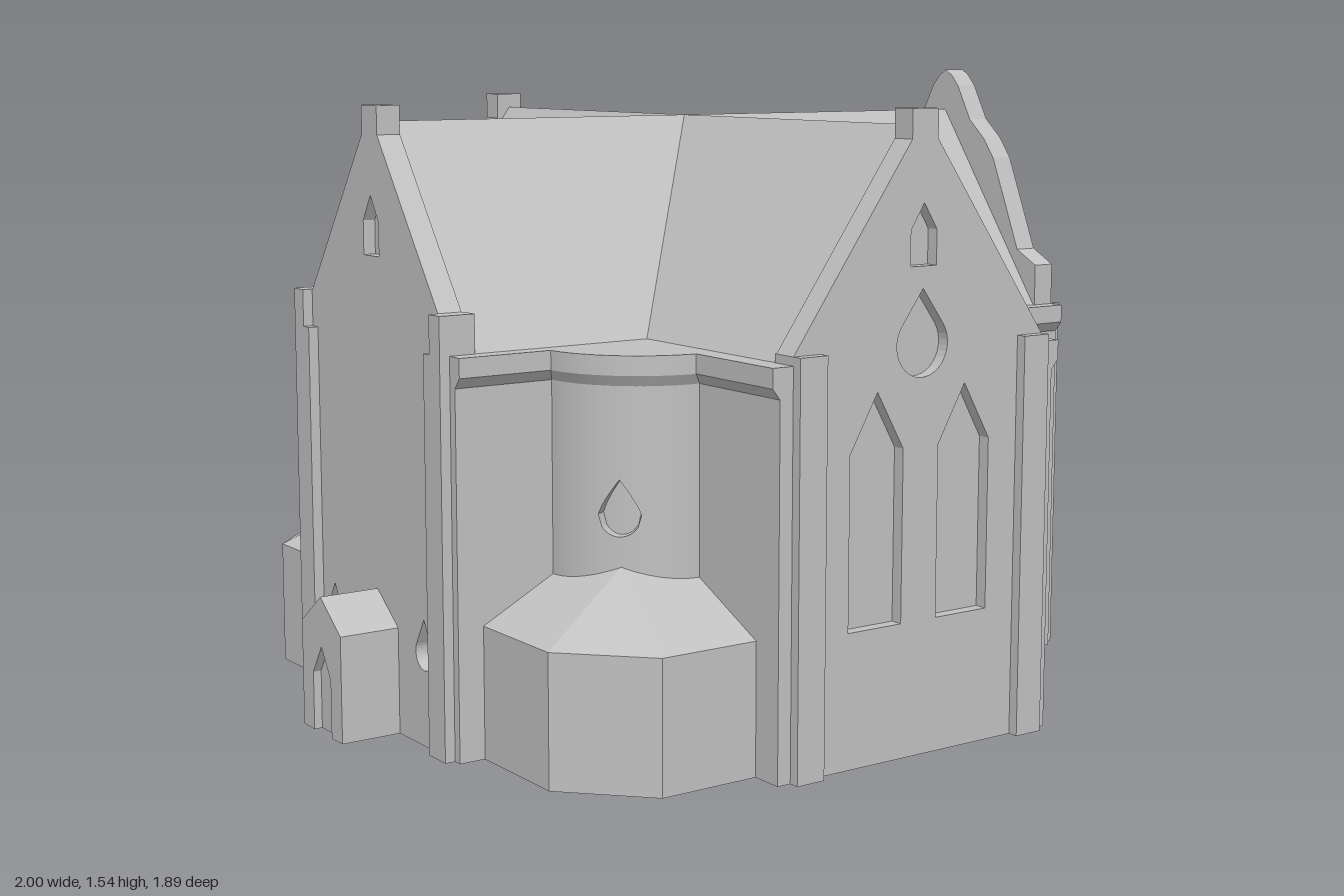
import * as THREE from 'three';
import { toCreasedNormals } from 'three/addons/utils/BufferGeometryUtils.js';

const CX = 0.0375;            // centre line of the front-back arm
const WX = 0.3975, WZ = 0.385; // half widths of the two arms
const R = 0.24;               // corner bay radius
const TOP = 0.925;

export function createModel() {
  const root = new THREE.Group();
  root.name = 'church';
  const stone = new THREE.MeshStandardMaterial({ color: 0xc0c0c0, side: THREE.DoubleSide });
  stone.name = 'stone';

  const add = (parent, name, geo) => {
    const m = new THREE.Mesh(geo, stone);
    m.name = name;
    parent.add(m);
    return m;
  };
  const box = (parent, name, x0, x1, y0, y1, z0, z1) => {
    const g = new THREE.BoxGeometry(x1 - x0, y1 - y0, z1 - z0);
    add(parent, name, g.translate((x0 + x1) / 2, (y0 + y1) / 2, (z0 + z1) / 2));
  };
  const shapeOf = pts => new THREE.Shape(pts.map(p => new THREE.Vector2(p[0], p[1])));
  const extrude = (pts, z0, z1, holes = []) => {
    const s = shapeOf(pts);
    s.holes = holes.map(shapeOf);
    return new THREE.ExtrudeGeometry(s, { depth: z1 - z0, bevelEnabled: false }).translate(0, 0, z0);
  };
  // flat slab from a plan of [x, z] points
  const slab = (pts, y0, y1) =>
    extrude(pts.map(([x, z]) => [x, -z]), y0, y1).rotateX(-Math.PI / 2);
  // polygons, each split as a fan
  const faces = (polys, flip = false, crease = 0.4) => {
    const out = [];
    for (const poly of polys) {
      const p = flip ? [...poly].reverse() : poly;
      for (let i = 1; i < p.length - 1; i++) out.push(...p[0], ...p[i], ...p[i + 1]);
    }
    const g = new THREE.BufferGeometry();
    g.setAttribute('position', new THREE.Float32BufferAttribute(out, 3));
    return toCreasedNormals(g, crease);
  };

  // Cross plan with quarter-round bays in the inner corners
  const plan = (off, r) => {
    const ring = [], t0 = Math.asin(off / r);
    for (const [sx, sz] of [[1, 1], [1, -1], [-1, -1], [-1, 1]]) {
      const q = [[CX + sx * (WX + off), sz * 0.89]];
      for (let i = 0; i <= 20; i++) {
        const t = t0 + (Math.PI / 2 - 2 * t0) * i / 20;
        q.push([CX + sx * (WX + r * Math.sin(t)), sz * (WZ + r * Math.cos(t))]);
      }
      q.push([sx > 0 ? 0.94 : -0.82, sz * (WZ + off)]);
      ring.push(...(sx * sz > 0 ? q : q.reverse()));
    }
    return ring;
  };
  add(root, 'walls', slab(plan(0, R - 0.03), 0, 0.92));
  const inner = plan(0, R), outer = plan(0.02, R + 0.015);
  add(root, 'cornice', toCreasedNormals(slab(outer, 0.88, TOP), 0.4));
  add(root, 'corniceMoulding', faces(inner.map((p, i) => {
    const j = (i + 1) % inner.length;
    return [[p[0], 0.855, p[1]], [inner[j][0], 0.855, inner[j][1]],
      [outer[j][0], 0.88, outer[j][1]], [outer[i][0], 0.88, outer[i][1]]];
  })));

  // Crossing roofs
  const roof = [[-0.36, 0.91], [0.36, 0.91], [0.36, TOP], [0, 1.43], [-0.36, TOP]];
  add(root, 'roofFrontBack', extrude(roof, -0.87, 0.87).translate(CX, 0, 0));
  add(root, 'roofSides', extrude(roof, -0.8, 0.92).rotateY(Math.PI / 2));

  // Curved bay walls, each with one recessed opening
  const door = { w: 0.044, lo: () => 0, hi: s => 0.2 + 0.058 * (1 - Math.abs(s) / 0.044) };
  const drop = {
    w: 0.05,
    lo: s => 0.563 - Math.sqrt(Math.max(0, 0.0025 - s * s)),
    hi: s => 0.563 + 0.08 * Math.pow(Math.max(0, 1 - Math.abs(s) / 0.05), 0.8),
  };
  const bay = (sx, sz, { w, lo, hi }) => {
    const P = (t, y, r = R) => [CX + sx * (WX + r * Math.sin(t)), y, sz * (WZ + r * Math.cos(t))];
    const mid = Math.PI / 4, tw = w / R, ts = [], polys = [];
    for (let i = 0; i < 8; i++) ts.push((mid - tw) * i / 8);
    for (let i = 0; i <= 12; i++) ts.push(mid - tw + 2 * tw * i / 12);
    for (let i = 1; i <= 8; i++) ts.push(mid + tw + (mid - tw) * i / 8);
    const strip = (a, b, y0, y1, y2, y3) => polys.push([P(a, y0), P(b, y1), P(b, y2), P(a, y3)]);
    const r = R - 0.032;
    for (let i = 0; i < ts.length - 1; i++) {
      const a = ts[i], b = ts[i + 1], sa = (a - mid) * R, sb = (b - mid) * R;
      if (i < 8 || i >= 20) { strip(a, b, 0, 0, 0.86, 0.86); continue; }
      if (lo(0) > 0) strip(a, b, 0, 0, lo(sb), lo(sa));
      strip(a, b, hi(sa), hi(sb), 0.86, 0.86);
      polys.push([P(a, lo(sa)), P(b, lo(sb)), P(b, lo(sb), r), P(a, lo(sa), r)]);
      polys.push([P(a, hi(sa), r), P(b, hi(sb), r), P(b, hi(sb)), P(a, hi(sa))]);
    }
    for (const k of [-1, 1]) {
      const t = mid + k * tw, l = lo(k * w), h = hi(k * w);
      if (h - l < 0.01) continue;
      const side = [P(t, l), P(t, l, r), P(t, h, r), P(t, h)];
      polys.push(k < 0 ? side : side.reverse());
    }
    add(root, 'cornerBay', faces(polys, sx * sz < 0));
  };
  for (const sz of [1, -1]) {
    bay(1, sz, door);
    bay(-1, sz, drop);
    // Low angular chapel with hipped roof around the bay
    const c = [[-0.34, 0.37], [-0.785, 0.37], [-0.785, 0.66], [-0.61, 0.84], [-0.34, 0.84]]
      .map(([x, z]) => [x, z * sz]);
    add(root, 'chapel', slab(c, 0, 0.31));
    const e = c.map(([x, z]) => [x, 0.31, z]);
    const apex = [-0.525, 0.445, 0.555 * sz];
    add(root, 'chapelRoof', faces([
      [e[1], e[2], apex, [-0.525, 0.445, 0.37 * sz]],
      [e[2], e[3], apex],
      [e[3], e[4], [-0.34, 0.445, 0.555 * sz], apex],
    ], sz < 0, 0.05));
  }

  // Opening outlines
  const pointed = (u, w, y0, y1, y2) => [[u - w, y0], [u + w, y0], [u + w, y1], [u, y2], [u - w, y1]];
  const teardrop = (u, y, r, tip) => {
    const pts = [[u, tip]];
    for (let i = 0; i <= 24; i++) {
      const a = Math.PI * (0.8 + 1.4 * i / 24);
      pts.push([u + r * Math.cos(a), y + r * Math.sin(a)]);
    }
    return pts;
  };
  const tall = [pointed(-0.1275, 0.076, 0.315, 0.715, 0.848), pointed(0.1275, 0.076, 0.315, 0.715, 0.848)];
  const rose = teardrop(0, 0.945, 0.074, 1.07);
  const attic = pointed(0, 0.0375, 1.12, 1.2, 1.26);

  // Gable profiles, right half from eave to top
  const straight = [[0.3625, TOP], [0.3625, 0.945], [0.0375, 1.4]];
  const shaped = [[0.365, TOP], [0.365, 1.03], [0.295, 1.067], [0.25, 1.175], [0.195, 1.305],
    [0.157, 1.355], [0.1, 1.405], [0.05, 1.495], [0.025, 1.522], [0, 1.537]];
  const mirror = half => half.filter(p => p[0] > 0).map(([u, y]) => [-u, y]).reverse();

  // Gable end built facing +z: pierced face plate, solid backing, buttresses
  const gable = (name, pos, turn, half, w, holes, { doorway = [], butt, proj }) => {
    const g = new THREE.Group();
    g.name = name;
    g.position.set(...pos);
    g.rotation.y = turn;
    root.add(g);
    const edge = [[w, 0], [w, 0.855], [w + 0.02, 0.88], [w + 0.02, TOP], ...half];
    add(g, 'gableFace', extrude([...doorway, ...edge, ...mirror(edge)], 0, 0.03, holes));
    const back = [[half[0][0], 0.9], ...half.slice(1)];
    add(g, 'gableBacking', extrude([...back, ...mirror(back)], -0.03, 0));
    for (const s of [-1, 1]) {
      const [a, b] = s > 0 ? [0.2875, 0.3625] : [-0.3625, -0.2875];
      box(g, 'buttress', a, b, 0, butt, 0.025, 0.03 + proj);
    }
    return g;
  };
  const finial = g => box(g, 'finial', -0.0375, 0.0375, 1.375, 1.467, -0.03, 0.03);
  const kneelers = (g, a, b, y) => {
    for (const s of [-1, 1])
      box(g, 'kneeler', Math.min(s * a, s * b), Math.max(s * a, s * b), 0.92, y, -0.035, 0.055);
  };

  for (const s of [1, -1]) {
    const g = gable(s > 0 ? 'frontGable' : 'backGable', [CX, 0, s * 0.89], s > 0 ? 0 : Math.PI,
      straight, WX, [...tall, rose, attic], { butt: 0.925, proj: 0.025 });
    finial(g);
    kneelers(g, 0.2875, 0.3625, 0.945);
  }
  gable('shapedGable', [0.94, 0, 0], Math.PI / 2, shaped, WZ, [...tall, rose], {
    doorway: [[-0.075, 0], [-0.075, 0.205], [0, 0.325], [0.075, 0.205], [0.075, 0]],
    butt: TOP, proj: 0.03,
  });
  const west = gable('porchGable', [-0.82, 0, 0], -Math.PI / 2, straight, WZ,
    [attic, teardrop(-0.225, 0.22, 0.04, 0.3), teardrop(0.225, 0.22, 0.04, 0.3)],
    { butt: TOP, proj: 0.025 });
  finial(west);
  kneelers(west, 0.315, 0.3625, 1.015);

  // Small porch with pitched roof and recessed door
  const porch = [[0.1, 0], [0.1, 0.255], [0, 0.33], [-0.1, 0.255], [-0.1, 0]];
  add(west, 'porch', extrude(porch, 0.02, 0.16));
  add(west, 'porchFront', extrude(
    [[-0.045, 0], [-0.045, 0.14], [0, 0.21], [0.045, 0.14], [0.045, 0], ...porch], 0.16, 0.18));

  return root;
}
